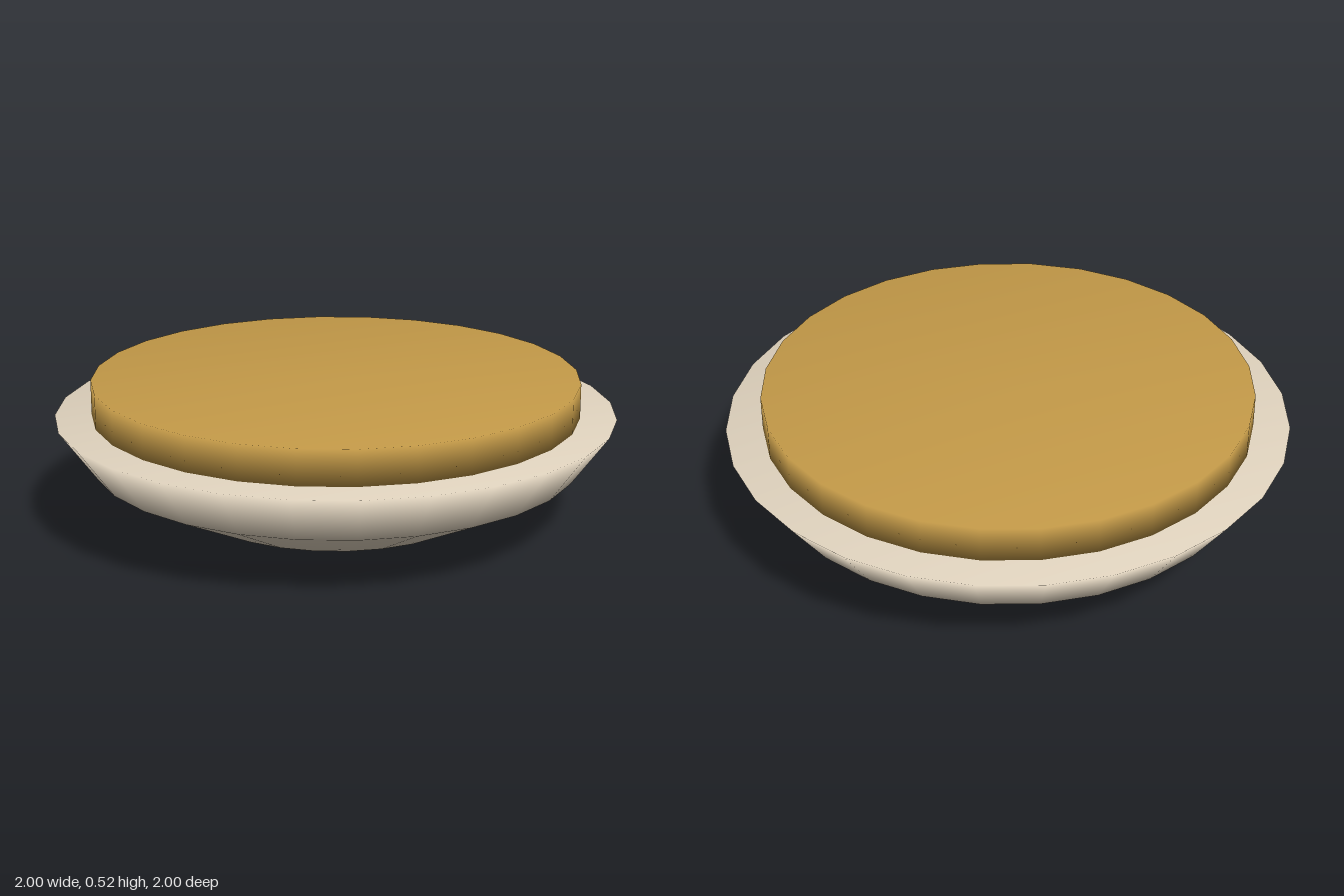
import * as THREE from 'three';

const SIDES = 28;

// Solid of revolution from [radius, height] pairs, bottom to top, softly shaded
function turned(name, profile, material) {
  const points = profile.map(([r, y]) => new THREE.Vector2(r, y));
  const mesh = new THREE.Mesh(new THREE.LatheGeometry(points, SIDES), material);
  mesh.name = name;
  return mesh;
}

export function createModel() {
  const cream = new THREE.MeshStandardMaterial({ color: 0xe0d3be });
  cream.name = 'cream';
  const gold = new THREE.MeshStandardMaterial({ color: 0xc49a48 });
  gold.name = 'gold';

  const model = new THREE.Group();
  model.name = 'filledDish';

  // Shallow faceted bowl, closed at the rim
  model.add(turned('bowl', [[0, 0], [0.52, 0.05], [0.87, 0.22], [1, 0.4], [0, 0.4]], cream));

  // Flat round filling standing proud of the rim
  model.add(turned('filling', [[0, 0.4], [0.87, 0.4], [0.87, 0.525], [0, 0.525]], gold));

  return model;
}
